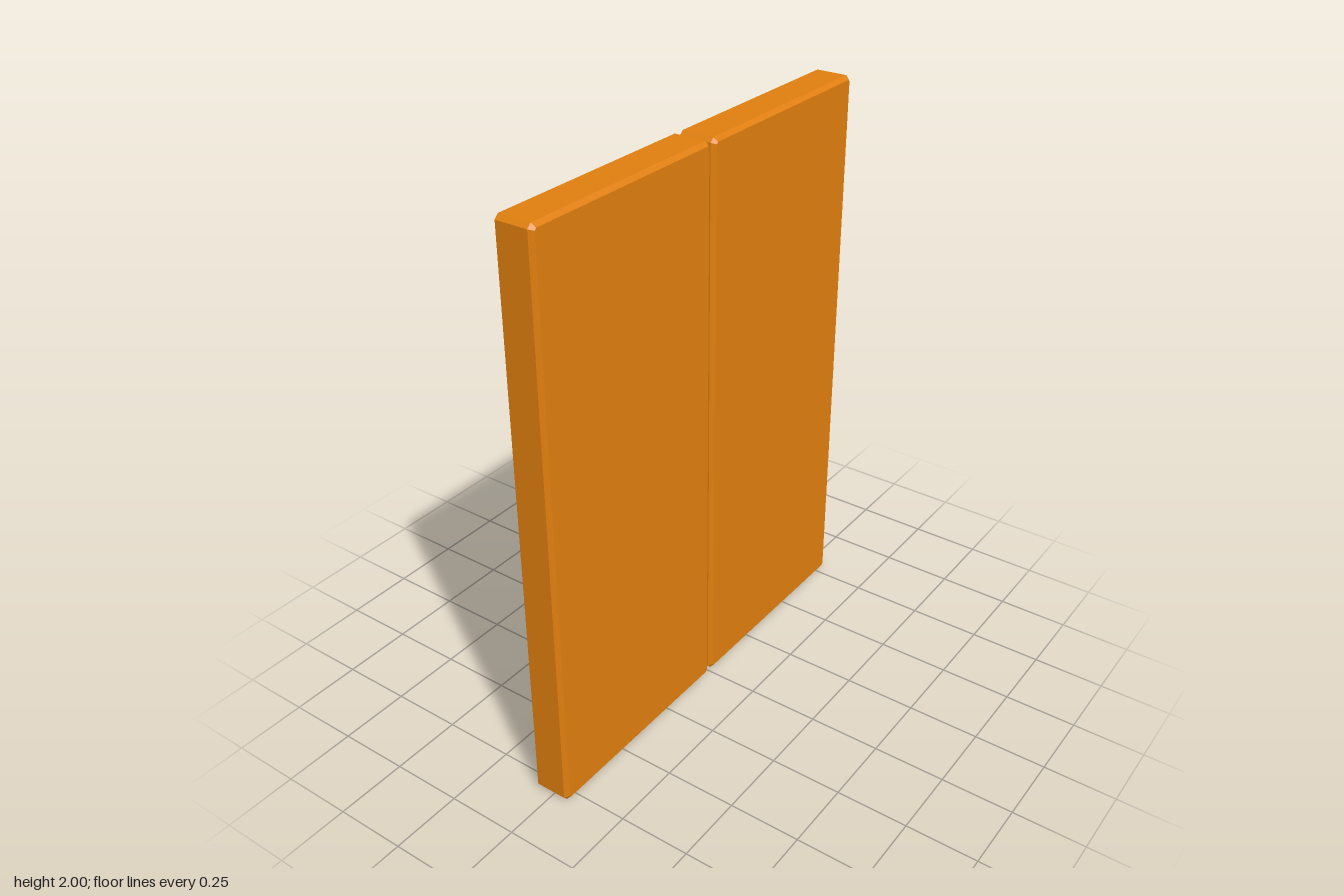
import * as THREE from 'three';

const W = 0.794, H = 2, Z = 0.062; // panel width, height, half depth
const CUT = 0.014, BEVEL = 0.013; // corner cut and front edge bevel
const GAP = 0.006; // half the slit between the panels

// Rectangle with cut corners, counter-clockwise, at depth z
function outline(inset, z) {
  const a = W / 2 - inset, b = H / 2 - inset;
  const c = CUT - inset * (2 - Math.SQRT2);
  return [
    [a, -b + c], [a, b - c], [a - c, b], [-a + c, b],
    [-a, b - c], [-a, -b + c], [-a + c, -b], [a - c, -b],
  ].map(([x, y]) => new THREE.Vector3(x, y, z));
}

// Flat back, straight sides, bevelled front edge
function panelGeometry() {
  const rings = [outline(0, -Z), outline(0, Z - BEVEL), outline(BEVEL, Z)];
  const points = [];
  for (let r = 0; r < 2; r++) {
    for (let i = 0; i < 8; i++) {
      const j = (i + 1) % 8;
      const [a, b, c, d] = [rings[r][i], rings[r][j], rings[r + 1][j], rings[r + 1][i]];
      points.push(a, b, c, a, c, d);
    }
  }
  // Front and back caps
  for (let i = 1; i < 7; i++) {
    points.push(rings[2][0], rings[2][i], rings[2][i + 1]);
    points.push(rings[0][0], rings[0][i + 1], rings[0][i]);
  }
  const geometry = new THREE.BufferGeometry().setFromPoints(points);
  geometry.computeVertexNormals();
  return geometry;
}

export function createModel() {
  const group = new THREE.Group();
  group.name = 'doublePanel';
  const material = new THREE.MeshStandardMaterial({ color: 0xe07f0e, flatShading: true });
  const geometry = panelGeometry();
  // Matching left and right panels
  for (const side of [1, -1]) {
    const panel = new THREE.Mesh(geometry, material);
    panel.name = side > 0 ? 'leftPanel' : 'rightPanel';
    panel.position.set(side * (GAP + W / 2), H / 2, 0);
    group.add(panel);
  }
  return group;
}
